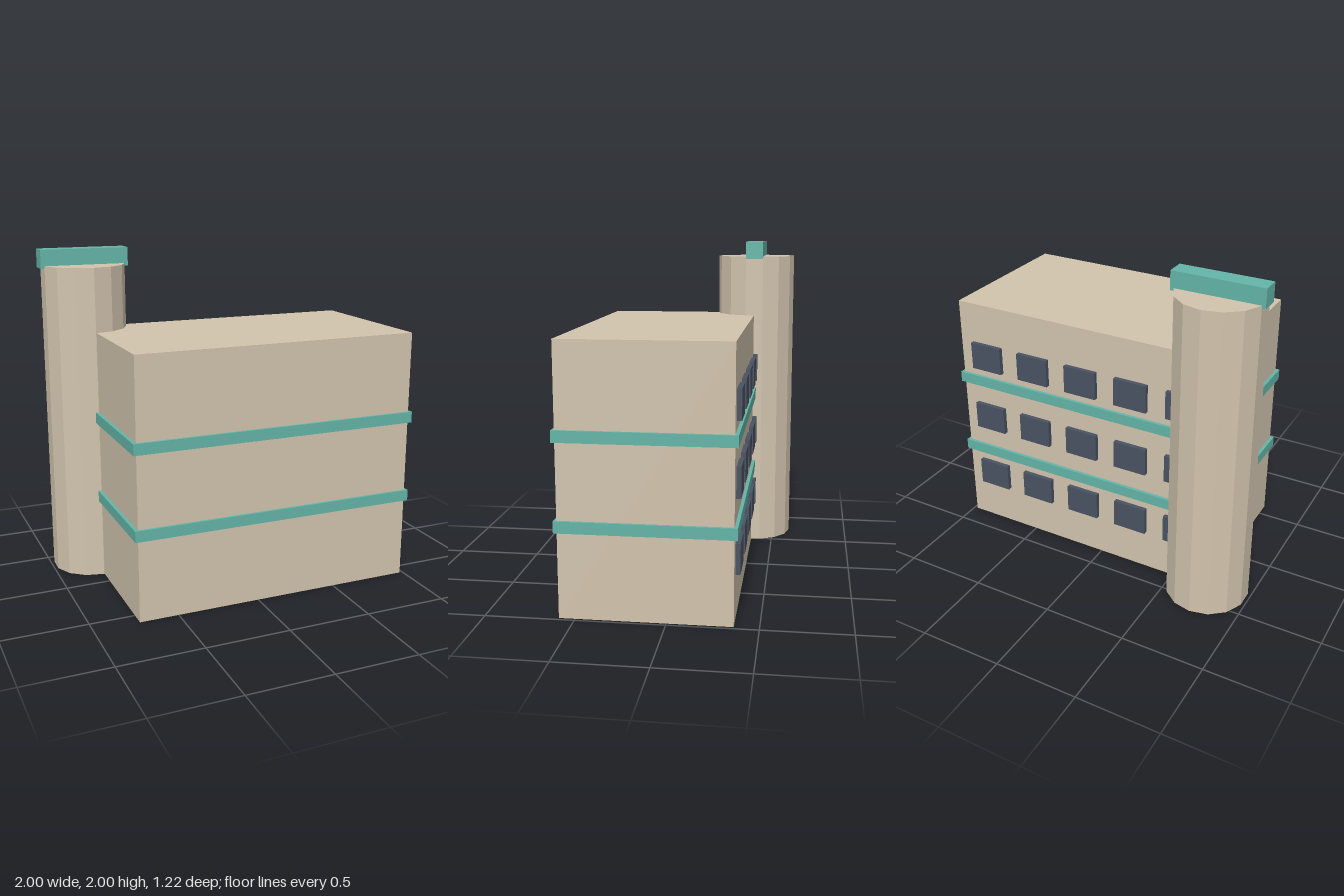
import * as THREE from 'three';

export function createModel() {
  const model = new THREE.Group();
  model.name = 'building';

  const wall = new THREE.MeshStandardMaterial({ color: 0xd2c4ae, flatShading: true });
  const trim = new THREE.MeshStandardMaterial({ color: 0x64b5a8 });
  const glass = new THREE.MeshStandardMaterial({ color: 0x4a5362 });

  // box given by its lower and upper corners
  function box(name, material, [x0, y0, z0], [x1, y1, z1]) {
    const mesh = new THREE.Mesh(new THREE.BoxGeometry(x1 - x0, y1 - y0, z1 - z0), material);
    mesh.position.set((x0 + x1) / 2, (y0 + y1) / 2, (z0 + z1) / 2);
    mesh.name = name;
    model.add(mesh);
  }

  // main block
  box('mainBlock', wall, [-0.732, 0, -0.363], [0.98, 1.525, 0.59]);

  // stair tower on the back right corner
  const towerHeight = 1.905;
  const tower = new THREE.Mesh(new THREE.CylinderGeometry(0.25, 0.25, towerHeight, 14), wall);
  tower.position.set(-0.735, towerHeight / 2, -0.363);
  tower.name = 'stairTower';
  model.add(tower);

  // beam across the tower top
  box('towerBeam', trim, [-1, 1.89, -0.418], [-0.47, 2, -0.308]);

  // bands between the floors
  for (const y of [0.485, 0.98]) {
    box('floorBand', trim, [-0.752, y, -0.382], [0.997, y + 0.066, 0.606]);
  }

  // back windows: three floors of five, the last running into the tower
  for (const y of [0.26, 0.682, 1.1]) {
    for (let i = 0; i < 5; i++) {
      const x = -0.652 + i * 0.3335;
      box('window', glass, [x, y, -0.39], [x + 0.21, y + 0.172, -0.36]);
    }
  }

  return model;
}
